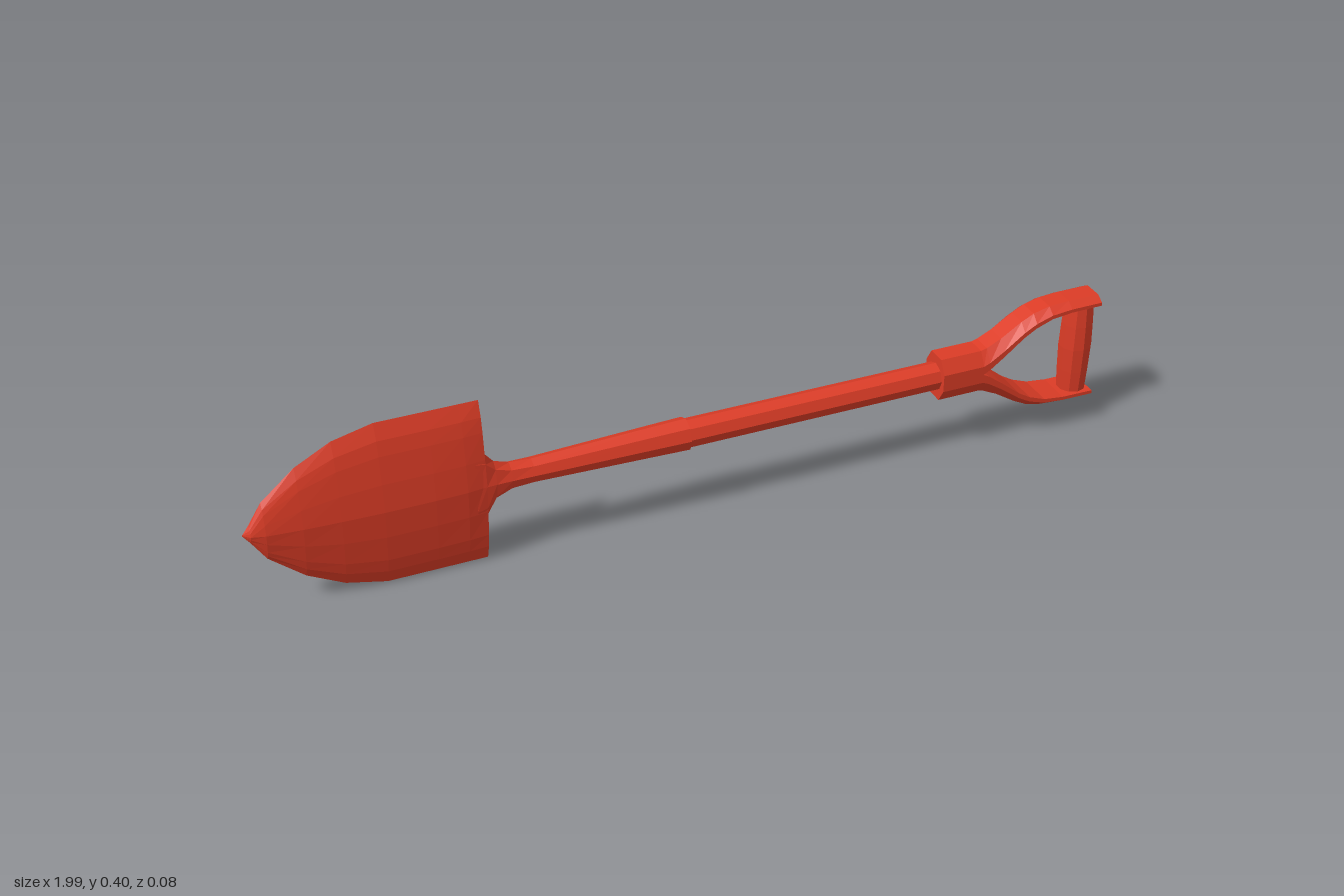
import * as THREE from 'three';

const material = new THREE.MeshStandardMaterial({ color: 0xdc3c26, flatShading: true });
const sheetMaterial = material.clone();
sheetMaterial.side = THREE.DoubleSide;

// Skins a row of cross-sections; closed sections are tubes with capped ends.
function loft(sections, closed = true) {
  const n = sections[0].length;
  const index = [];
  const steps = closed ? n : n - 1;
  for (let i = 0; i < sections.length - 1; i++) {
    for (let j = 0; j < steps; j++) {
      const k = (j + 1) % n;
      const a = i * n + j, b = i * n + k;
      index.push(a, b, a + n, b, b + n, a + n);
    }
  }
  if (closed) {
    const last = (sections.length - 1) * n;
    for (let j = 1; j < n - 1; j++) {
      index.push(0, j + 1, j, last, last + j, last + j + 1);
    }
  }
  const geometry = new THREE.BufferGeometry();
  geometry.setAttribute('position', new THREE.Float32BufferAttribute(sections.flat(2), 3));
  geometry.setIndex(index);
  geometry.computeVertexNormals();
  return geometry;
}

// Elliptical section at x, spanning +-hy in y and z0..z1 in z.
function oval(x, hy, z0, z1, sides = 8) {
  return Array.from({ length: sides }, (_, j) => {
    const a = (j / sides) * Math.PI * 2;
    return [x, Math.cos(a) * hy, (z0 + z1) / 2 + (Math.sin(a) * (z1 - z0)) / 2];
  });
}

export function createModel() {
  const group = new THREE.Group();
  const add = (name, geometry, mat = material) => {
    const mesh = new THREE.Mesh(geometry, mat);
    mesh.name = name;
    mesh.position.y = 0.2;
    group.add(mesh);
    return mesh;
  };

  // Dished, pointed blade: x, half width, depth of the dish
  const bladeRows = [
    [-1, 0.001, 0], [-0.985, 0.022, 0.013], [-0.955, 0.07, 0.021], [-0.88, 0.135, 0.028],
    [-0.8, 0.178, 0.032], [-0.71, 0.2, 0.035], [-0.6, 0.2, 0.035], [-0.53, 0.2, 0.033], [-0.487, 0.2, 0.028],
  ];
  const half = [[1, 0], [0.82, 0.43], [0.65, 0.64], [0.33, 0.87]];
  const dish = [...half, [0, 1], ...half.map(([t, d]) => [-t, d]).reverse()];
  add('blade', loft(bladeRows.map(([x, w, d]) => dish.map(([t, f]) => [x, t * w, f * d])), false), sheetMaterial);

  // Socket that flares into the blade and sleeves the shaft
  add('socket', loft([
    oval(-0.51, 0.085, 0.018, 0.029),
    oval(-0.487, 0.078, 0.006, 0.029),
    oval(-0.465, 0.048, -0.012, 0.028),
    oval(-0.43, 0.032, -0.022, 0.028),
    oval(-0.38, 0.028, -0.026, 0.029),
    oval(-0.1, 0.036, -0.035, 0.035),
    oval(-0.025, 0.038, -0.037, 0.037),
  ]));

  add('shaft', loft([oval(-0.06, 0.033, -0.033, 0.033), oval(0.62, 0.033, -0.033, 0.033)]));

  // Forked handle: each half runs from the ferrule to the grip (x, inner y, outer y)
  const armRows = [
    [0.588, 0, 0.053], [0.69, 0, 0.053], [0.705, 0.008, 0.057], [0.74, 0.034, 0.074],
    [0.79, 0.074, 0.106], [0.82, 0.092, 0.121], [0.86, 0.107, 0.131], [0.91, 0.113, 0.134], [0.988, 0.114, 0.134],
  ];
  const armGeometry = loft(armRows.map(([x, inner, outer]) => {
    const shoulder = inner + (outer - inner) * 0.4;
    return [
      [x, inner, -0.042], [x, shoulder, -0.042], [x, outer, -0.023],
      [x, outer, 0.023], [x, shoulder, 0.042], [x, inner, 0.042],
    ];
  }));
  add('upperArm', armGeometry);
  add('lowerArm', armGeometry).rotation.x = Math.PI;

  // Slightly barrelled grip between the arms
  const gripProfile = [[0.034, -0.118], [0.037, -0.06], [0.039, 0], [0.037, 0.06], [0.034, 0.118]];
  const grip = add('grip', new THREE.LatheGeometry(gripProfile.map(([r, y]) => new THREE.Vector2(r, y)), 10));
  grip.position.x = 0.955;

  return group;
}
